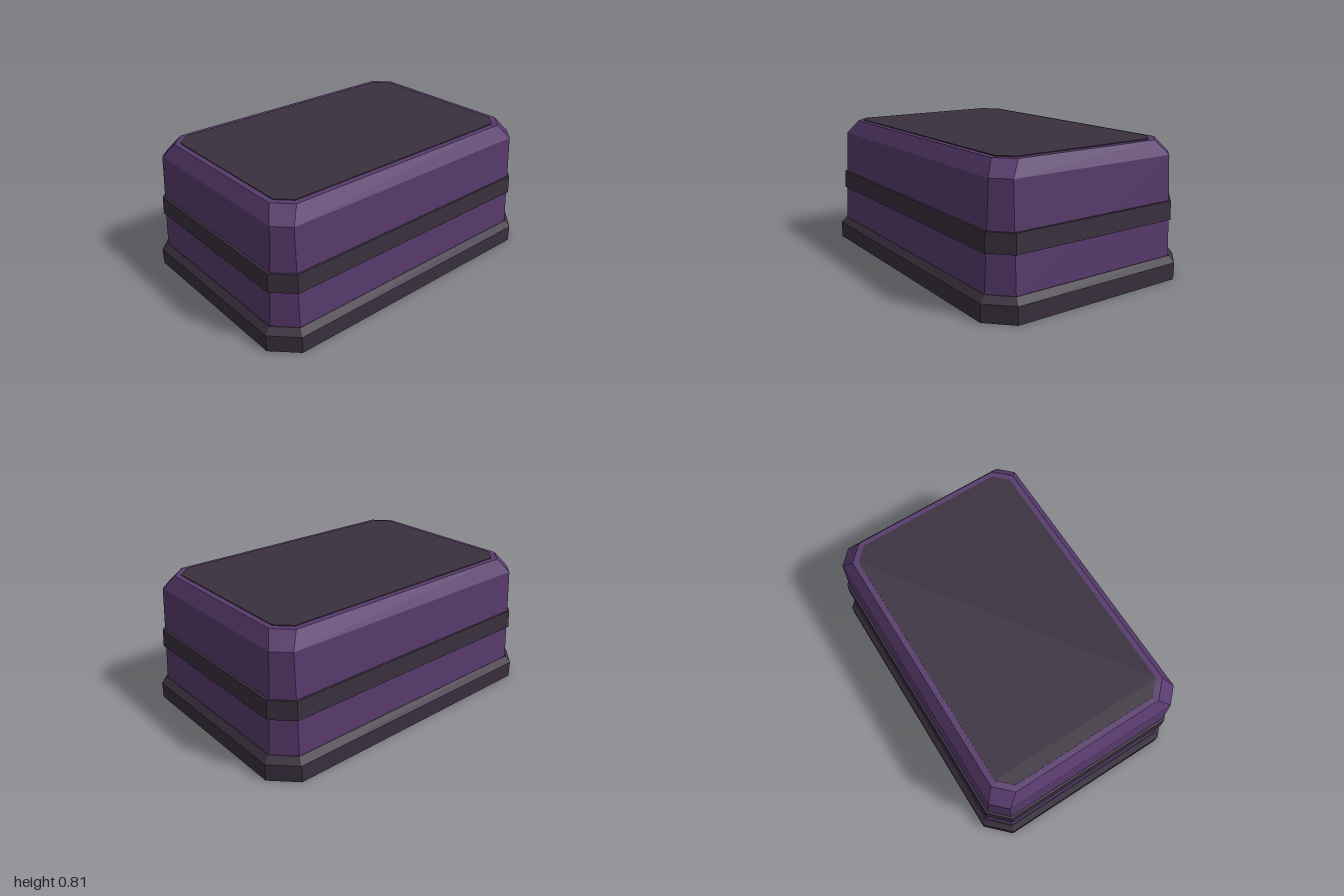
import * as THREE from 'three';

// Outline of a rectangle with cut corners, anticlockwise seen from the front of the loft
function ring([y, hx, hz, c]) {
  return [
    [hx, hz - c], [hx, c - hz], [hx - c, -hz], [c - hx, -hz],
    [-hx, c - hz], [-hx, hz - c], [c - hx, hz], [hx - c, hz],
  ].map(([x, z]) => [x, y, z]);
}

// Closed solid lofted through sections of [height, half width, half depth, corner cut]
function loft(name, sections, material) {
  const rings = sections.map(ring);
  const pos = [];
  const tri = (a, b, c) => pos.push(...a, ...b, ...c);
  for (let s = 0; s < rings.length - 1; s++) {
    const lo = rings[s], hi = rings[s + 1];
    for (let i = 0; i < 8; i++) {
      const j = (i + 1) % 8;
      tri(lo[i], lo[j], hi[j]);
      tri(lo[i], hi[j], hi[i]);
    }
  }
  const bottom = rings[0], top = rings[rings.length - 1];
  for (let i = 1; i < 7; i++) {
    tri(top[0], top[i], top[i + 1]);
    tri(bottom[0], bottom[i + 1], bottom[i]);
  }
  const geometry = new THREE.BufferGeometry();
  geometry.setAttribute('position', new THREE.Float32BufferAttribute(pos, 3));
  geometry.computeVertexNormals();
  const mesh = new THREE.Mesh(geometry, material);
  mesh.name = name;
  return mesh;
}

export function createModel() {
  const purple = new THREE.MeshStandardMaterial({ color: 0x573a6c });
  purple.name = 'purple';
  const charcoal = new THREE.MeshStandardMaterial({ color: 0x39303e });
  charcoal.name = 'charcoal';

  const model = new THREE.Group();
  model.name = 'crate';
  model.add(
    // Wide foot with a bevelled upper edge
    loft('base', [[0, 0.69, 1, 0.135], [0.1, 0.69, 1, 0.135], [0.137, 0.657, 0.967, 0.115]], charcoal),
    // Tapered body with a bevelled shoulder
    loft('body', [[0.13, 0.655, 0.963, 0.113], [0.72, 0.625, 0.93, 0.086], [0.804, 0.568, 0.878, 0.096]], purple),
    // Raised band around the middle
    loft('band', [[0.35, 0.656, 0.965, 0.113], [0.46, 0.65, 0.959, 0.108]], charcoal),
    // Thin inset panel on the lid
    loft('topPanel', [[0.8, 0.535, 0.845, 0.08], [0.809, 0.535, 0.845, 0.08]], charcoal),
  );
  return model;
}
